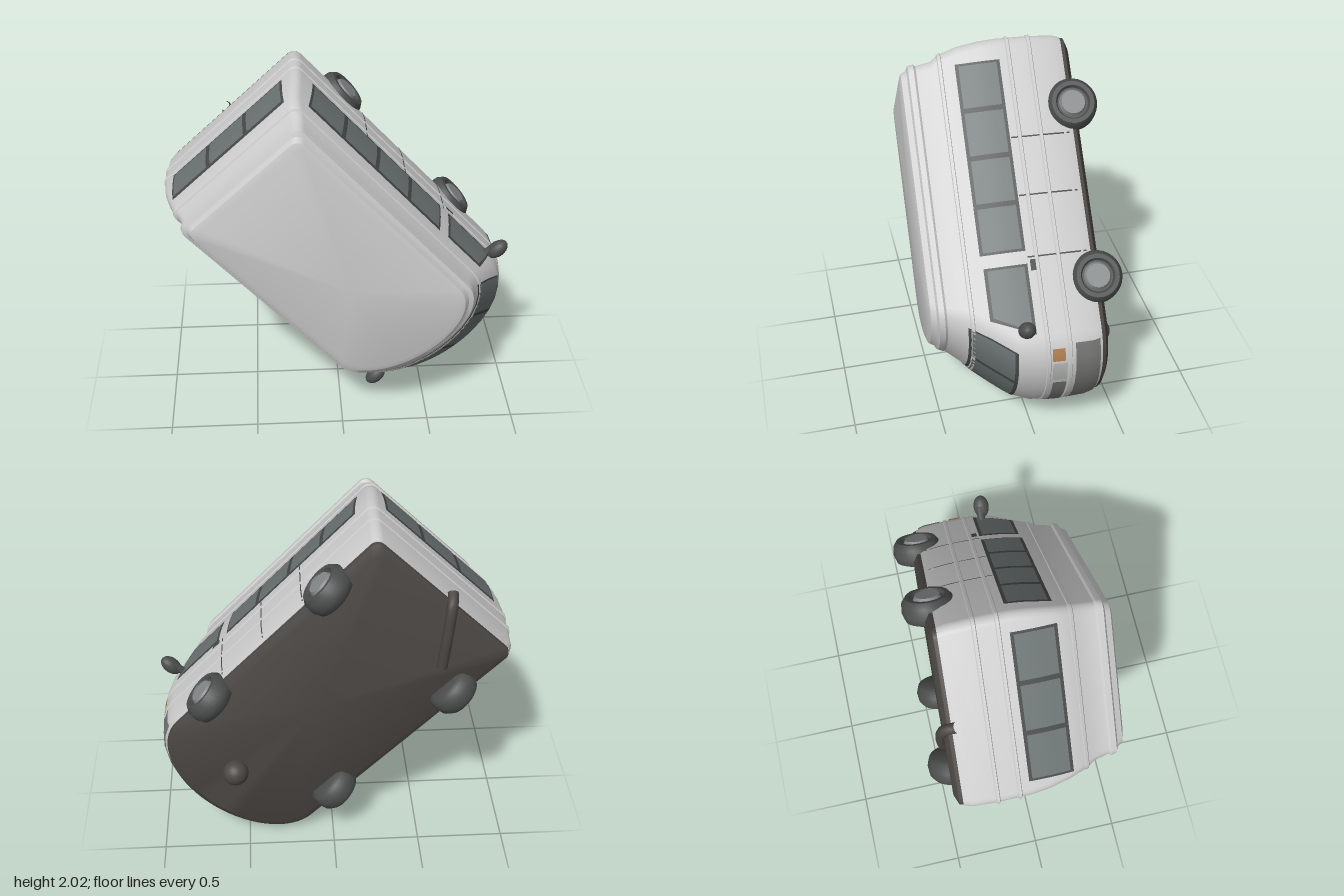
import * as THREE from 'three';
import { toCreasedNormals } from 'three/addons/utils/BufferGeometryUtils.js';

// Body sections: height, half width, rear, start of front curve, nose, front skew
const LEVELS = [
  [-0.43, 0.47, -1.59, -0.06, 0.285, 0], [-0.405, 0.512, -1.63, -0.02, 0.32, 0],
  [-0.34, 0.53, -1.645, 0, 0.34, 0], [-0.20, 0.535, -1.65, 0, 0.345, 0],
  [-0.02, 0.533, -1.65, 0, 0.335, 0], [0.08, 0.522, -1.645, -0.02, 0.295, 0],
  [0.20, 0.497, -1.63, -0.11, 0.20, 0], [0.30, 0.474, -1.60, -0.17, 0.115, 0],
  [0.345, 0.458, -1.57, -0.20, 0.07, 0.02], [0.43, 0.444, -1.555, -0.24, 0, 0.06],
  [0.442, 0.452, -1.565, -0.24, 0, 0.07], [0.472, 0.446, -1.56, -0.255, -0.015, 0.1],
  [0.482, 0.425, -1.54, -0.275, -0.035, 0.1], [0.513, 0.41, -1.525, -0.29, -0.055, 0.1],
  [0.524, 0.38, -1.495, -0.31, -0.085, 0.1],
];

// Section at any height, grown outward by d; the middle leans slightly with height
function section(y, d = 0) {
  let i = 0;
  while (i < LEVELS.length - 2 && LEVELS[i + 1][0] < y) i++;
  const a = LEVELS[i], b = LEVELS[i + 1];
  const t = THREE.MathUtils.clamp((y - a[0]) / (b[0] - a[0]), 0, 1);
  const [w, rear, start, nose, skew] = [1, 2, 3, 4, 5].map((k) => a[k] + (b[k] - a[k]) * t);
  return { w: w + d, rear: rear - d, start, nose: nose + d, skew, mid: -0.05 * y };
}

// Points on the front curve, the sides and the back
function frontPoint(angle, y, d) {
  const s = section(y, d), z = -s.w * Math.sin(angle);
  return [s.start + (s.nose - s.start) * Math.cos(angle) - s.skew * z, y, s.mid + z];
}
function sidePoint(x, y, d, side) {
  const s = section(y, d);
  const k = Math.max(0, (x - s.start) / (s.nose - s.start));
  return [x, y, s.mid + side * s.w * Math.sqrt(Math.max(0, 1 - k * k))];
}
const backPoint = (z, y, d) => [section(y, d).rear, y, z];

// Closed outline: curved front, straight sides, rounded rear corners
function outline(y, d) {
  const s = section(y, d), pts = [], r = 0.05;
  for (let i = 0; i <= 32; i++) pts.push(frontPoint(-Math.PI / 2 + (Math.PI * i) / 32, y, d));
  for (const side of [-1, 1]) {
    for (let i = 0; i <= 5; i++) {
      const a = ((side < 0 ? i : 5 - i) / 5) * Math.PI / 2;
      pts.push([s.rear + r - r * Math.sin(a), y, s.mid + side * (s.w - r + r * Math.cos(a))]);
    }
  }
  return pts;
}

function surface(pos, idx, crease) {
  const g = new THREE.BufferGeometry();
  g.setAttribute('position', new THREE.Float32BufferAttribute(pos.flat(), 3));
  g.setIndex(idx);
  return toCreasedNormals(g, crease);
}

// Stack of outlines [height, offset], optionally capped
function loft(rows, capped = true) {
  const rings = rows.map(([y, d]) => outline(y, d)), n = rings[0].length;
  const pos = rings.flat(), idx = [];
  for (let j = 0; j < rings.length - 1; j++) {
    for (let i = 0; i < n; i++) {
      const a = j * n + i, b = j * n + (i + 1) % n;
      idx.push(a, b, b + n, a, b + n, a + n);
    }
  }
  if (capped) {
    const c = pos.length, top = (rings.length - 1) * n;
    pos.push([-0.65, rows[0][0], 0], [-0.65, rows.at(-1)[0] + 0.006, 0]);
    for (let i = 0; i < n; i++) {
      const k = (i + 1) % n;
      idx.push(c, k, i, c + 1, top + i, top + k);
    }
  }
  return surface(pos, idx, 0.6);
}

// Grid patch from a point function of (s, t), both 0..1
function patch(fn, nu = 12, nv = 4) {
  const pos = [], idx = [];
  for (let j = 0; j <= nv; j++) {
    for (let i = 0; i <= nu; i++) {
      pos.push(fn(i / nu, j / nv));
      if (i < nu && j < nv) {
        const a = j * (nu + 1) + i, b = a + nu + 1;
        idx.push(a, a + 1, b + 1, a, b + 1, b);
      }
    }
  }
  return surface(pos, idx, 0.6);
}

export function createModel() {
  const mat = (color, side = THREE.FrontSide) => new THREE.MeshStandardMaterial({ color, side });
  const paint = mat(0xcccccc), dark = mat(0x4a4643), tyreMat = mat(0x4c4e4e), hubMat = mat(0x868a8a);
  const glass = mat(0x6a7271, THREE.DoubleSide), seal = mat(0x464948, THREE.DoubleSide);
  const lamp = mat(0xb4b6b4, THREE.DoubleSide), amber = mat(0xb08050, THREE.DoubleSide);
  const grey = mat(0x777775, THREE.DoubleSide);
  const van = new THREE.Group();
  van.name = 'van';
  const add = (name, geo, material, parent = van) => {
    const m = new THREE.Mesh(geo, material);
    m.name = name;
    parent.add(m);
    return m;
  };
  const lerp = THREE.MathUtils.lerp;

  // Shell, underbody and raised strips
  add('body', loft([[-0.385, 0], ...LEVELS.slice(2).map((l) => [l[0], 0])]), paint);
  add('underbody', loft([[-0.43, 0], [-0.405, 0], [-0.375, -0.004]]), dark);
  for (const y of [-0.2, -0.08, 0.30]) {
    add('bodyStrip', loft([[y - 0.016, -0.006], [y - 0.008, 0.006], [y + 0.008, 0.006], [y + 0.016, -0.006]], false), paint);
  }

  // Windows: a dark seal with panes on top
  const pane = (name, point, x0, x1, y0, y1, slant, material, d) =>
    add(name, patch((s, t) => point(lerp(x0, x1 - slant * t, s), lerp(y0, y1, t), d)), material);
  const windowRow = (name, point, x0, x1, y0, y1, count, slant = 0, gap = 0.014) => {
    pane(name + 'Seal', point, x0, x1, y0, y1, slant, seal, 0.003);
    const step = (x1 - x0) / count;
    for (let i = 0; i < count; i++) {
      pane(name, point, x0 + i * step + gap, x0 + (i + 1) * step - gap, y0 + 0.018, y1 - 0.018, slant, glass, 0.006);
    }
  };
  windowRow('windscreen', frontPoint, -1.25, 1.25, 0.08, 0.325, 4, 0, 0.03);
  windowRow('rearWindow', backPoint, -0.43, 0.43, -0.025, 0.22, 3);
  for (const side of [-1, 1]) {
    const point = (x, y, d) => sidePoint(x, y, d, side);
    windowRow('sideWindow', point, -1.52, -0.46, -0.025, 0.22, 4);
    windowRow('doorWindow', point, -0.39, -0.01, -0.025, 0.21, 1, 0.1);
    // Door seams
    for (const x of [-1.08, -0.76, -0.425]) pane('doorSeam', point, x - 0.004, x + 0.004, -0.36, -0.03, 0, seal, 0.003);
    pane('doorHandle', point, -0.41, -0.35, -0.07, -0.04, 0, seal, 0.012);
  }

  // Grille, lamps and bumper
  pane('grille', frontPoint, -0.75, 0.75, -0.18, -0.105, 0, grey, 0.008);
  pane('bumper', frontPoint, -1.4, 1.4, -0.37, -0.23, 0, grey, 0.006);
  for (const side of [-1, 1]) {
    pane('headlamp', frontPoint, side * 0.8, side * 1.1, -0.18, -0.1, 0, lamp, 0.008);
    pane('indicator', frontPoint, side * 1.14, side * 1.34, -0.17, -0.1, 0, amber, 0.008);
  }

  // Wheels: rounded tyre with a recessed hub
  const tyreProfile = [[0, -0.06], [0.1, -0.06], [0.13, -0.045], [0.145, 0], [0.14, 0.05], [0.118, 0.08],
    [0.095, 0.08], [0.085, 0.062], [0, 0.062]].map((p) => new THREE.Vector2(...p));
  const tyreGeo = toCreasedNormals(new THREE.LatheGeometry(tyreProfile, 32), 0.8);
  for (const side of [-1, 1]) {
    for (const x of [-1.24, -0.28]) {
      const wheel = new THREE.Group();
      wheel.name = 'wheel';
      wheel.position.set(x, -0.398, side * 0.463);
      wheel.rotation.x = side * Math.PI / 2;
      add('tyre', tyreGeo, tyreMat, wheel);
      add('hub', new THREE.CylinderGeometry(0.065, 0.08, 0.03, 20), hubMat, wheel).position.y = 0.068;
      van.add(wheel);
    }
  }

  // Rounded housing below the nose and a bent exhaust at the back
  const housing = add('engineHousing', new THREE.SphereGeometry(0.075, 20, 14), dark);
  housing.position.set(0.0, -0.455, -0.04);
  const exhaustPath = new THREE.CatmullRomCurve3([[-1.66, -0.36, 0.04], [-1.63, -0.42, 0.06],
    [-1.5, -0.445, 0.16], [-1.32, -0.44, 0.3]].map((p) => new THREE.Vector3(...p)));
  add('exhaust', new THREE.TubeGeometry(exhaustPath, 20, 0.03, 10), dark);

  // Door mirrors
  for (const [x, y, z] of [[-0.035, 0.035, -0.605], [0.10, 0.13, 0.49]]) {
    const mirror = add('mirror', new THREE.SphereGeometry(0.055, 20, 14), tyreMat);
    mirror.scale.set(0.8, 0.85, 1.25);
    mirror.position.set(x, y, z);
    const arm = add('mirrorArm', new THREE.CylinderGeometry(0.02, 0.025, 0.14, 10), tyreMat);
    arm.rotation.x = Math.PI / 2;
    arm.position.set(x - 0.02, y - 0.01, z - Math.sign(z) * 0.06);
  }

  // Slight roll and pitch, then lay the van back with its roof to the front, nose down to the right
  van.rotation.set(0.038, 0, 0.026);
  const pose = new THREE.Group();
  pose.name = 'pose';
  pose.add(van);
  const yaw = THREE.MathUtils.degToRad(-46.7), c = Math.cos(yaw), s = Math.sin(yaw);
  pose.quaternion.setFromRotationMatrix(new THREE.Matrix4().makeBasis(
    new THREE.Vector3(c, s, 0), new THREE.Vector3(0, 0, 1), new THREE.Vector3(s, -c, 0)));
  const model = new THREE.Group();
  model.add(pose);

  // Centre it and stand it on the ground
  const box = new THREE.Box3().setFromObject(model, true), mid = box.getCenter(new THREE.Vector3());
  pose.position.set(-mid.x, -box.min.y, -mid.z);
  return model;
}
